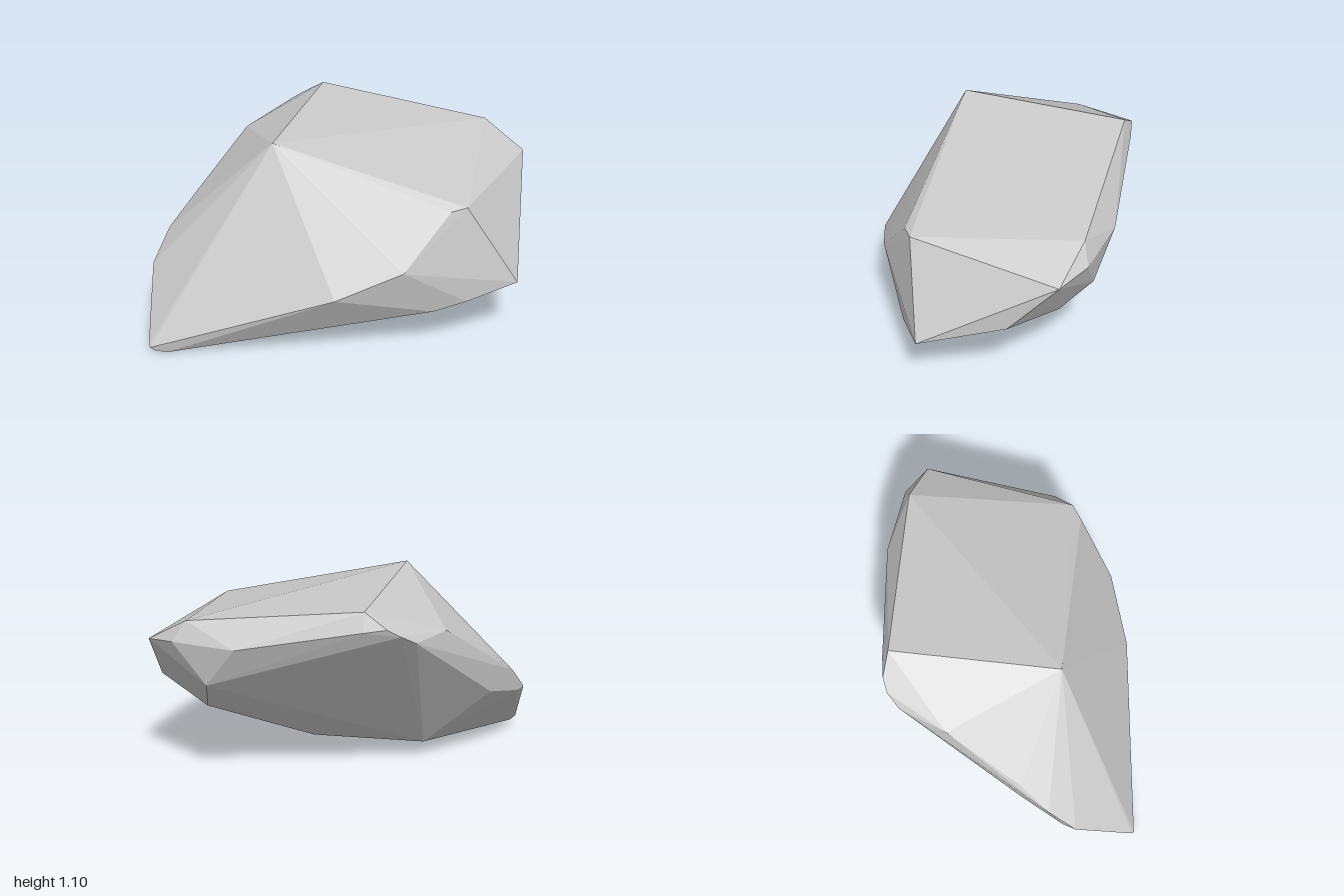
import * as THREE from 'three';
import { ConvexGeometry } from 'three/addons/geometries/ConvexGeometry.js';

// Corner points of the faceted boulder, grouped by region
const crown = [
  [-0.33, 1.10, 0.25], [-0.22, 1.08, -0.65], [0.73, 0.96, -0.57],
  [0.64, 0.84, 0.375], [0.72, 0.85, 0.33], [0.96, 0.82, -0.48],
];
const frontRim = [
  [1.00, 0.38, 0.25], [0.74, 0.31, 0.38], [0.57, 0.26, 0.43],
  [0.42, 0.55, 0.555], [0.07, 0.40, 0.645],
];
const frontTip = [
  [-0.94, 0.03, 0.685], [-0.92, 0.012, 0.68], [-0.85, 0, 0.67], [-0.95, 0.045, 0.67],
];
const sideRidge = [
  [-1.00, 0.36, 0.34], [-0.97, 0.36, 0.27], [-0.94, 0.51, 0.19],
  [-0.83, 0.65, 0.04], [-0.83, 0.43, 0.04], [-0.61, 0.905, -0.35],
];
const backRim = [
  [-0.48, 0.91, -0.60], [-0.41, 0.96, -0.66], [-0.34, 1.00, -0.68],
  [-0.22, 0.98, -0.688], [0.45, 0.85, -0.69], [0.80, 0.85, -0.60],
];
const underside = [
  [0.97, 0.53, -0.22], [0.62, 0.62, -0.61], [0.66, 0.44, -0.44],
  [0.14, 0.165, -0.10], [-0.46, 0.10, 0.05], [-0.32, 0, 0.34],
];

export function createModel() {
  const group = new THREE.Group();
  group.name = 'rock';

  // Boulder: convex hull of all the corners
  const points = [crown, frontRim, frontTip, sideRidge, backRim, underside]
    .flat().map((p) => new THREE.Vector3(...p));
  const boulder = new THREE.Mesh(
    new ConvexGeometry(points),
    new THREE.MeshStandardMaterial({ color: 0xcccccc, flatShading: true }),
  );
  boulder.name = 'boulder';
  group.add(boulder);
  return group;
}
